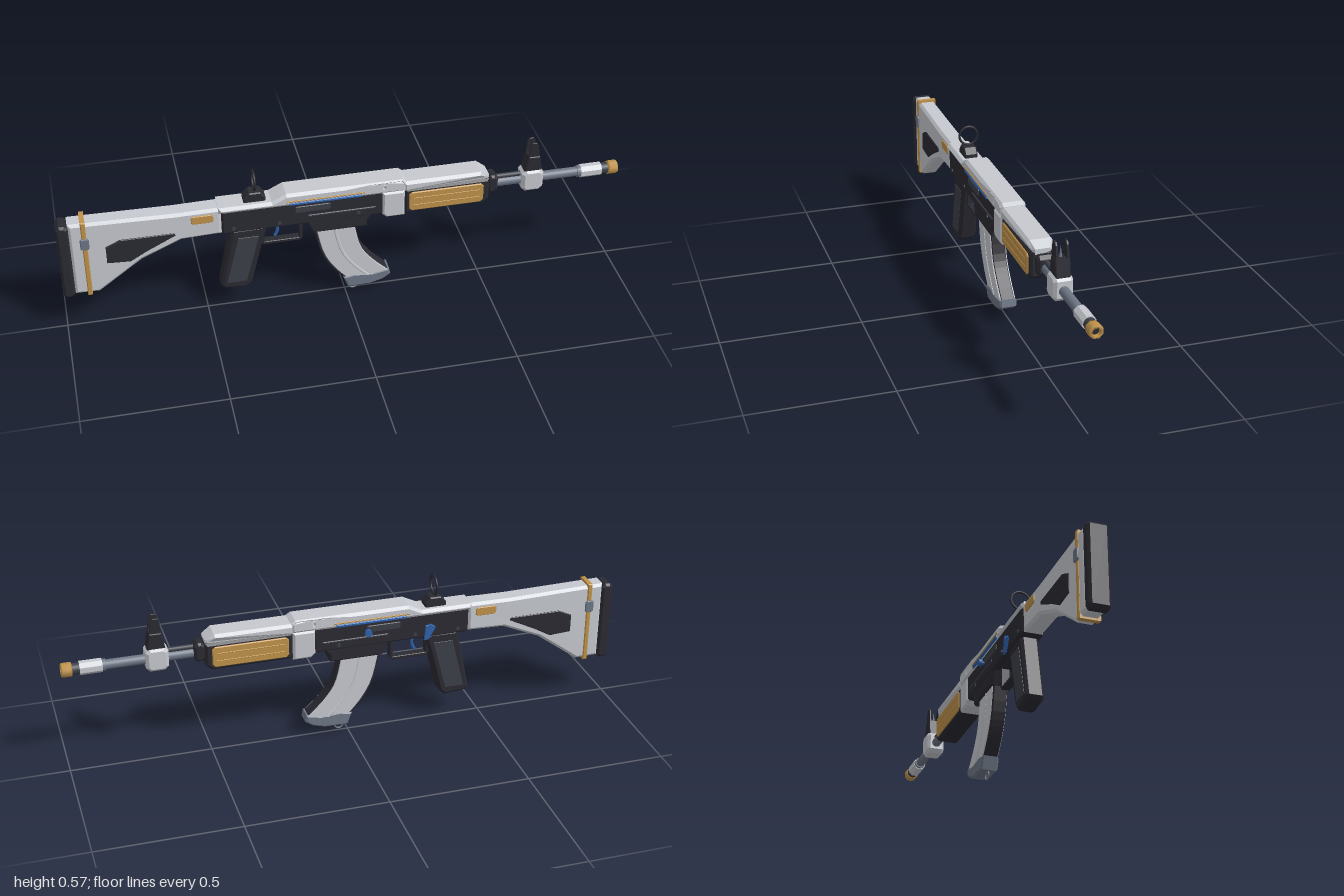
import * as THREE from 'three';

const mat = (name, color) => {
  const m = new THREE.MeshStandardMaterial({ color });
  m.name = name;
  return m;
};

export function createModel() {
  const white = mat('pale shell', 0xc6c9cf), dark = mat('dark polymer', 0x2a2a32);
  const gold = mat('gold', 0xc0924a), blue = mat('blue', 0x2f62ac);
  const steel = mat('steel', 0x6d7685), grey = mat('dark grey', 0x3c3f48);

  const root = new THREE.Group();
  root.name = 'rifle';
  const body = new THREE.Group();
  body.name = 'body';
  body.position.z = 0.008;
  root.add(body);

  const add = (name, geo, material, x = 0, y = 0, z = 0) => {
    const m = new THREE.Mesh(geo, material);
    m.name = name;
    m.position.set(x, y, z);
    body.add(m);
    return m;
  };
  // Side profile extruded across z, with chamfered edges
  const slab = (name, pts, half, bevel, material, z = 0, holes = [], rule) => {
    const v = a => a.map(p => new THREE.Vector2(p[0], p[1]));
    const s = new THREE.Shape(v(pts));
    holes.forEach(h => s.holes.push(new THREE.Path(v(h))));
    const g = new THREE.ExtrudeGeometry(s, {
      depth: 2 * (half - bevel), bevelEnabled: bevel > 0, bevelSegments: 1,
      bevelThickness: bevel, bevelSize: bevel, bevelOffset: -bevel,
    });
    g.translate(0, 0, bevel - half);
    if (rule) {
      const p = g.attributes.position;
      for (let i = 0; i < p.count; i++) p.setZ(i, p.getZ(i) * rule(p.getX(i), p.getY(i)));
      g.computeVertexNormals();
    }
    return add(name, g, material, 0, 0, z);
  };
  const rect = (x0, x1, y0, y1, c = 0) => c
    ? [[x0 + c, y0], [x1 - c, y0], [x1, y0 + c], [x1, y1 - c], [x1 - c, y1], [x0 + c, y1], [x0, y1 - c], [x0, y0 + c]]
    : [[x0, y0], [x1, y0], [x1, y1], [x0, y1]];
  // Thin plates on both flanks
  const plates = (name, pts, z, material, half = 0.004, bevel = 0.002) => {
    for (const s of [1, -1]) slab(name, pts, half, bevel, material, s * z);
  };
  // Round part along the barrel axis
  const tube = (name, x0, x1, r, material, sides = 24, y = 0.393, z = 0) => {
    const g = new THREE.CylinderGeometry(r, r, x1 - x0, sides);
    if (sides === 8) g.rotateY(Math.PI / 8);
    const flat = sides === 8 ? g.toNonIndexed() : g;
    if (sides === 8) flat.computeVertexNormals();
    add(name, flat.rotateZ(-Math.PI / 2), material, (x0 + x1) / 2, y, z);
  };

  // Stock
  slab('buttPad', rect(-1, -0.958, 0.155, 0.455, 0.012), 0.036, 0.008, dark);
  slab('stock', [[-0.96, 0.165], [-0.875, 0.163], [-0.72, 0.278], [-0.58, 0.34], [-0.44, 0.345],
    [-0.44, 0.452], [-0.6, 0.45], [-0.96, 0.458]], 0.036, 0.01, white, 0, [],
    x => 0.9 + 0.1 * THREE.MathUtils.smoothstep(x, -0.95, -0.45));
  slab('stockStrap', rect(-0.917, -0.9, 0.157, 0.465), 0.037, 0.003, gold);
  plates('strapBuckle', rect(-0.924, -0.893, 0.355, 0.4, 0.005), 0.038, steel);
  plates('stockPanel', [[-0.84, 0.285], [-0.76, 0.28], [-0.7, 0.315], [-0.6, 0.365], [-0.605, 0.375],
    [-0.79, 0.375], [-0.84, 0.352]], 0.034, dark);
  plates('stockPlate', rect(-0.545, -0.468, 0.402, 0.434, 0.006), 0.036, gold);

  // Top cover with vents cut through
  slab('topCover', [[-0.45, 0.432], [0.21, 0.432], [0.21, 0.47], [0.195, 0.48], [-0.215, 0.48],
    [-0.265, 0.455], [-0.45, 0.455]], 0.046, 0.01, white, 0,
    [rect(0.079, 0.126, 0.455, 0.469, 0.003), rect(0.134, 0.192, 0.455, 0.469, 0.003)]);
  slab('handguardCover', [[0.2, 0.428], [0.512, 0.428], [0.512, 0.448], [0.48, 0.469], [0.2, 0.469]],
    0.045, 0.01, white, 0, [], x => x > 0.485 ? 0.75 : 1);
  plates('coverStripe', rect(-0.205, 0.05, 0.436, 0.446), 0.046, blue);
  plates('coverTrim', rect(-0.215, 0.06, 0.449, 0.454), 0.046, gold, 0.003, 0.001);

  // Receiver
  slab('receiver', [[-0.44, 0.345], [-0.14, 0.345], [0.13, 0.345], [0.13, 0.44], [-0.44, 0.44]],
    0.04, 0.006, dark);
  slab('magazineWell', [[-0.15, 0.36], [-0.12, 0.298], [0.07, 0.298], [0.07, 0.318], [0.1, 0.36]],
    0.037, 0.006, dark);
  plates('ejectionPort', rect(-0.185, -0.06, 0.398, 0.424, 0.004), 0.04, grey);
  plates('receiverRib', rect(-0.14, 0.1, 0.376, 0.384), 0.04, grey);
  for (const x of [-0.4, -0.24, 0.04]) for (const s of [1, -1])
    add('receiverPin', new THREE.CylinderGeometry(0.007, 0.007, 0.006, 12).rotateX(Math.PI / 2), grey, x, 0.365, s * 0.04);
  slab('frontBlock', [[0.125, 0.345], [0.14, 0.33], [0.205, 0.33], [0.205, 0.435], [0.125, 0.435]],
    0.045, 0.007, white);

  // Handguard
  slab('handguard', [[0.205, 0.335], [0.49, 0.335], [0.512, 0.352], [0.512, 0.436], [0.205, 0.436]],
    0.041, 0.008, dark);
  plates('handguardPanel', rect(0.22, 0.49, 0.347, 0.424, 0.01), 0.041, gold, 0.005, 0.003);
  for (const y of [0.371, 0.399])
    plates('handguardGroove', rect(0.235, 0.475, y - 0.002, y + 0.002), 0.0455, gold, 0.002, 0.001);
  slab('handguardCap', rect(0.51, 0.548, 0.366, 0.436, 0.012), 0.029, 0.008, dark);

  // Barrel and muzzle
  tube('barrel', 0.5, 0.95, 0.017, steel);
  tube('gasTube', 0.54, 0.645, 0.009, grey, 16, 0.416);
  tube('muzzleSleeve', 0.86, 0.937, 0.0245, white, 8);
  tube('sleeveRing', 0.848, 0.862, 0.021, steel);
  tube('muzzleNeck', 0.935, 0.965, 0.02, grey);
  const tip = [[0.014, 0], [0.024, 0], [0.025, 0.008], [0.025, 0.032], [0.022, 0.037], [0.014, 0.037], [0.014, 0]];
  add('muzzleTip', new THREE.LatheGeometry(tip.map(p => new THREE.Vector2(...p)), 8, Math.PI / 8).rotateZ(-Math.PI / 2),
    gold, 0.962, 0.393);
  tube('bore', 0.96, 0.985, 0.0145, dark);

  // Front sight
  slab('frontSightBlock', rect(0.636, 0.715, 0.354, 0.44, 0.014), 0.033, 0.01, white);
  slab('frontSightBase', [[0.645, 0.435], [0.708, 0.435], [0.698, 0.495], [0.657, 0.495]], 0.025, 0.003, dark);
  for (const s of [1, -1])
    slab('frontSightEar', [[0.655, 0.48], [0.7, 0.48], [0.69, 0.54], [0.683, 0.55], [0.668, 0.55], [0.661, 0.54]],
      0.004, 0.0015, dark, s * 0.0185);
  add('frontSightPost', new THREE.ConeGeometry(0.006, 0.045, 12), steel, 0.677, 0.512);

  // Rear ring sight
  slab('rearSightBase', [[-0.36, 0.45], [-0.283, 0.45], [-0.283, 0.468], [-0.3, 0.49], [-0.34, 0.49], [-0.36, 0.468]],
    0.024, 0.004, dark);
  add('rearSightRing', new THREE.TorusGeometry(0.034, 0.0042, 10, 40).rotateY(Math.PI / 2), dark, -0.32, 0.529);

  // Grip, trigger and guard
  slab('grip', [[-0.405, 0.35], [-0.28, 0.35], [-0.295, 0.3], [-0.342, 0.112], [-0.362, 0.093], [-0.44, 0.1],
    [-0.453, 0.115]], 0.032, 0.009, dark);
  plates('gripPanel', [[-0.385, 0.315], [-0.312, 0.315], [-0.362, 0.125], [-0.432, 0.125]], 0.031, grey, 0.003, 0.001);
  slab('triggerGuard', [[-0.302, 0.348], [-0.302, 0.27], [-0.296, 0.26], [-0.165, 0.26], [-0.155, 0.27], [-0.155, 0.348]],
    0.015, 0.002, dark, 0, [[[-0.29, 0.34], [-0.29, 0.272], [-0.167, 0.272], [-0.167, 0.34]]]);
  const bend = new THREE.QuadraticBezierCurve3(new THREE.Vector3(-0.25, 0.35, 0),
    new THREE.Vector3(-0.232, 0.31, 0), new THREE.Vector3(-0.252, 0.285, 0));
  add('trigger', new THREE.TubeGeometry(bend, 10, 0.006, 8), blue);

  // Curved magazine: dark core with pale side shells
  const rear = new THREE.SplineCurve([[-0.118, 0.31], [-0.092, 0.2], [-0.052, 0.125], [0.004, 0.06]].map(p => new THREE.Vector2(...p)));
  const fore = new THREE.SplineCurve([[0.03, 0.31], [0.053, 0.21], [0.095, 0.145], [0.155, 0.085]].map(p => new THREE.Vector2(...p)));
  const magOutline = (a, b) => {
    const left = [], right = [];
    for (let i = 0; i <= 10; i++) {
      const p = rear.getPoint(i / 10), q = fore.getPoint(i / 10);
      const l = p.clone().lerp(q, a), r = p.clone().lerp(q, b);
      left.push([l.x, l.y]);
      right.unshift([r.x, r.y]);
    }
    return left.concat(right);
  };
  slab('magazineCore', magOutline(0, 1), 0.025, 0.003, dark);
  plates('magazineShell', magOutline(0.06, 0.98), 0.0245, white);
  plates('magazineRib', magOutline(0.46, 0.54), 0.027, white, 0.004, 0.002);
  slab('magazineFoot', [[-0.012, 0.076], [0.005, 0.03], [0.09, 0.032], [0.135, 0.045], [0.162, 0.064], [0.157, 0.09],
    [0.1, 0.08], [0.03, 0.085]], 0.031, 0.006, steel);
  add('magazineLoop', new THREE.TorusGeometry(0.016, 0.003, 8, 24), steel, 0.03, 0.02);

  // Bolt handle and selector on the far flank
  const arm = new THREE.CylinderGeometry(0.006, 0.006, 0.03, 12).rotateX(Math.PI / 2);
  add('boltArm', arm, blue, -0.062, 0.405, -0.045);
  add('boltKnob', new THREE.CylinderGeometry(0.013, 0.013, 0.012, 16).rotateX(Math.PI / 2), blue, -0.062, 0.405, -0.059);
  slab('selectorLever', [[-0.305, 0.395], [-0.315, 0.385], [-0.29, 0.34], [-0.272, 0.338], [-0.278, 0.395]],
    0.004, 0.0015, blue, -0.044);
  add('selectorPivot', new THREE.CylinderGeometry(0.01, 0.01, 0.012, 16).rotateX(Math.PI / 2), blue, -0.295, 0.388, -0.044);

  return root;
}
